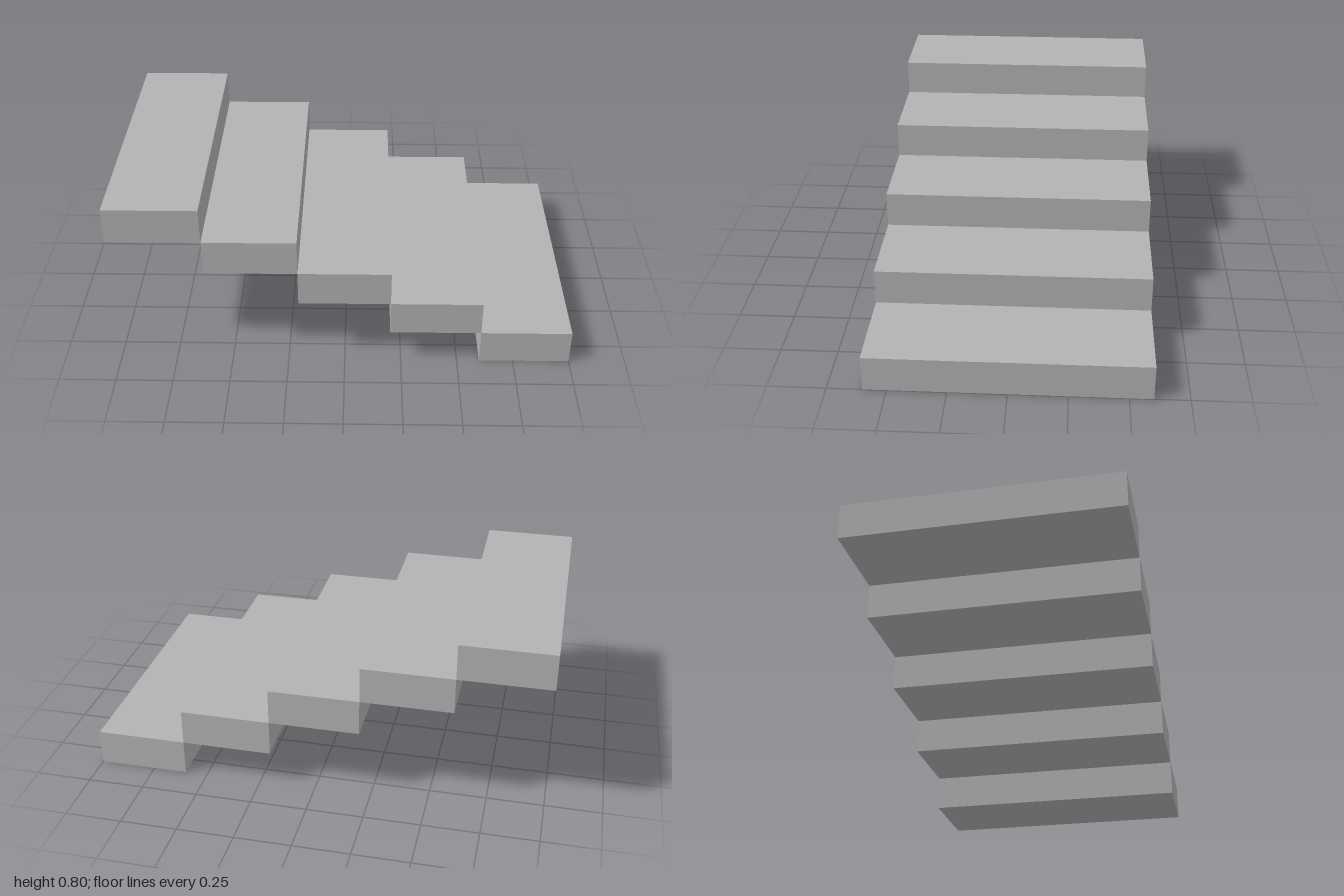
import * as THREE from 'three';

export function createModel() {
  const group = new THREE.Group();
  group.name = 'staircase';
  const stone = new THREE.MeshStandardMaterial({ color: 0xb2b2b2 });
  stone.name = 'plain grey';

  const count = 5, run = 0.4, rise = 0.16, width = 1.2;
  const slab = new THREE.BoxGeometry(run, rise, width);

  // Equal slabs climbing towards -x, touching only along their edges
  for (let i = 0; i < count; i++) {
    const step = new THREE.Mesh(slab, stone);
    step.name = `step${i + 1}`;
    step.position.set(((count - 1) / 2 - i) * run, (i + 0.5) * rise, 0);
    group.add(step);
  }
  return group;
}
